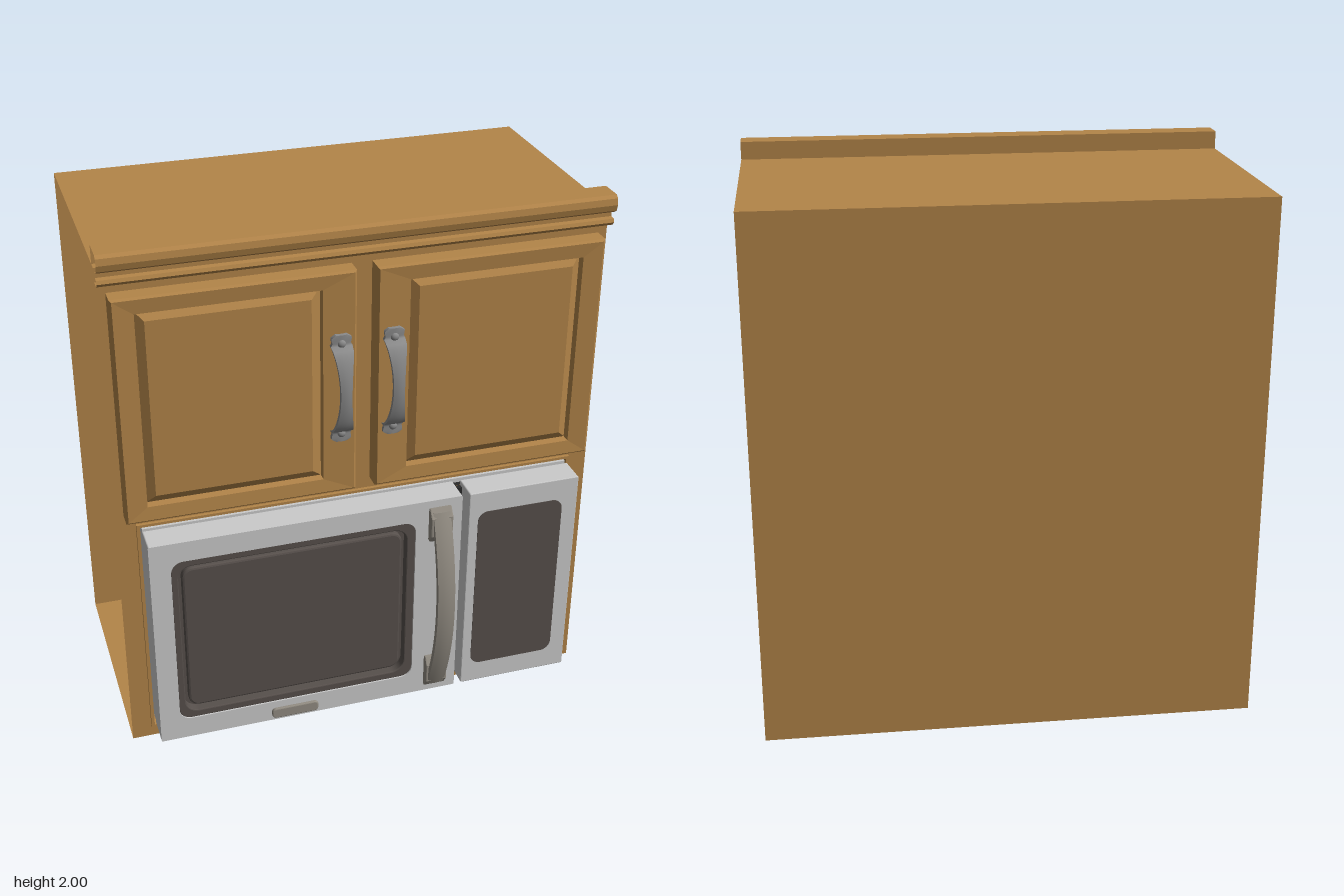
import * as THREE from 'three';

const mat = (color, flat = false) =>
  new THREE.MeshStandardMaterial({ color, flatShading: flat, side: THREE.DoubleSide });
const wood = mat(0xb38549, true), grey = mat(0xcccccc, true), dark = mat(0x57504c),
  black = mat(0x2a2a2a), warmMetal = mat(0x938d83), pullMetal = mat(0x8b8b8b);

function add(parent, name, geometry, material, x = 0, y = 0, z = 0) {
  const m = new THREE.Mesh(geometry, material);
  m.name = name;
  m.position.set(x, y, z);
  parent.add(m);
  return m;
}

// Rectangular rings [x0, x1, y0, y1, z] joined one to the next, optionally closed by a last panel
function rings(list, cap = false) {
  const pos = [];
  const corners = ([x0, x1, y0, y1, z]) => [[x0, y0, z], [x1, y0, z], [x1, y1, z], [x0, y1, z]];
  const quad = (a, b, c, d) => pos.push(...a, ...b, ...c, ...a, ...c, ...d);
  for (let i = 0; i < list.length - 1; i++) {
    const o = corners(list[i]), n = corners(list[i + 1]);
    for (let k = 0; k < 4; k++) quad(o[k], o[(k + 1) % 4], n[(k + 1) % 4], n[k]);
  }
  if (cap) quad(...corners(list[list.length - 1]));
  const g = new THREE.BufferGeometry();
  g.setAttribute('position', new THREE.Float32BufferAttribute(pos, 3));
  g.computeVertexNormals();
  return g;
}

function roundRect(x0, x1, y0, y1, r, Type = THREE.Shape) {
  const s = new Type();
  s.moveTo(x0 + r, y0);
  s.lineTo(x1 - r, y0);
  s.absarc(x1 - r, y0 + r, r, -Math.PI / 2, 0);
  s.lineTo(x1, y1 - r);
  s.absarc(x1 - r, y1 - r, r, 0, Math.PI / 2);
  s.lineTo(x0 + r, y1);
  s.absarc(x0 + r, y1 - r, r, Math.PI / 2, Math.PI);
  s.lineTo(x0, y0 + r);
  s.absarc(x0 + r, y0 + r, r, Math.PI, Math.PI * 1.5);
  return s;
}

const slab = (shape, depth, bevel = 0) => new THREE.ExtrudeGeometry(shape, {
  depth: depth - 2 * bevel, bevelEnabled: bevel > 0, bevelSize: bevel, bevelThickness: bevel,
  bevelOffset: -bevel, bevelSegments: 2, curveSegments: 8,
}).translate(0, 0, bevel);

// Upright bar: width and forward bow both follow t = -1..1 along its height
function bentBar(height, thick, width, bow) {
  const g = new THREE.BoxGeometry(1, 2, thick, 4, 40, 1), p = g.attributes.position;
  for (let i = 0; i < p.count; i++) {
    const t = p.getY(i), x = p.getX(i);
    p.setXYZ(i, x * width(t), t * height / 2, p.getZ(i) + bow(t) - x * x * thick * 0.8);
  }
  g.computeVertexNormals();
  return g;
}

// Cabinet: open-sided sheets, face frame with openings, and crown moulding
function buildCabinet() {
  const g = new THREE.Group();
  g.name = 'cabinet';
  const top = 1.935, back = -0.57, face = 0.32, depth = face - back, mid = (face + back) / 2;
  add(g, 'cabinetBack', new THREE.PlaneGeometry(1.784, top).rotateY(Math.PI), wood, 0, top / 2, back);
  add(g, 'cabinetTop', new THREE.PlaneGeometry(1.784, depth).rotateX(-Math.PI / 2), wood, 0, top, mid);
  add(g, 'cabinetBottom', new THREE.PlaneGeometry(1.784, depth).rotateX(Math.PI / 2), wood, 0, 0, mid);

  const frame = roundRect(-0.892, 0.892, 0, top, 0.0001);
  for (const r of [[-0.855, -0.04, 1.003, 1.84], [0.04, 0.855, 1.003, 1.84], [-0.815, 0.815, 0.05, 0.953]])
    frame.holes.push(roundRect(...r, 0.0001, THREE.Path));
  add(g, 'faceFrame', new THREE.ShapeGeometry(frame, 1), wood, 0, 0, face);
  add(g, 'openingTrim', rings([
    [-0.82, 0.82, 0.046, 0.956, 0.32], [-0.82, 0.82, 0.046, 0.956, 0.333],
    [-0.808, 0.808, 0.058, 0.946, 0.333], [-0.804, 0.804, 0.065, 0.943, 0.30],
    [-0.803, 0.803, 0.072, 0.942, 0.22]]), wood);

  // Crown profile as (z, y), swept along x with open ends
  const profile = [[0.285, 1.935], [0.285, 2], [0.37, 2], [0.382, 1.99], [0.386, 1.967], [0.38, 1.945],
    [0.365, 1.935], [0.345, 1.933], [0.345, 1.912], [0.365, 1.91], [0.37, 1.898], [0.36, 1.886], [0.32, 1.885]];
  const crown = new THREE.PlaneGeometry(1.784, 1, 1, profile.length - 1), p = crown.attributes.position;
  for (let i = 0; i < p.count; i++) {
    const [z, y] = profile[Math.floor(i / 2)];
    p.setXYZ(i, p.getX(i), y, z);
  }
  crown.computeVertexNormals();
  add(g, 'crownMoulding', crown, wood);
  return g;
}

// Raised-panel door with a curved pull; side is +1 for the left door, -1 for the right
function buildDoor(side) {
  const g = new THREE.Group();
  g.name = side > 0 ? 'leftDoor' : 'rightDoor';
  const ring = (inner, outer, y0, y1, z) =>
    side > 0 ? [inner, outer, y0, y1, z] : [-outer, -inner, y0, y1, z];
  add(g, 'doorPanel', rings([
    ring(0.036, 0.86, 0.998, 1.845, 0.265), ring(0.036, 0.86, 0.998, 1.845, 0.378),
    ring(0.043, 0.853, 1.005, 1.838, 0.385), ring(0.154, 0.783, 1.056, 1.786, 0.38),
    ring(0.155, 0.782, 1.057, 1.785, 0.348), ring(0.19, 0.75, 1.09, 1.752, 0.37)], true), wood);

  const x = side * 0.094;
  const width = t => {
    const a = Math.abs(t);
    if (a < 0.8) return 0.04 + 0.036 * (a / 0.8) ** 2;
    return a < 0.92 ? 0.076 - 0.012 * Math.sin((a - 0.8) / 0.12 * Math.PI) : 0.076 - 0.036 * ((a - 0.92) / 0.08) ** 2;
  };
  const bow = t => Math.abs(t) < 0.8 ? 0.062 * Math.sqrt(Math.max(0, 1 - (t / 0.8) ** 2)) : 0;
  add(g, 'doorPull', bentBar(0.41, 0.014, width, bow), pullMetal, x, 1.417, 0.393);
  for (const s of [-1, 1])
    add(g, 'pullScrew', new THREE.SphereGeometry(0.015, 12, 8).scale(1, 1, 0.7), pullMetal, x, 1.417 + s * 0.173, 0.398);
  return g;
}

function buildMicrowave() {
  const g = new THREE.Group();
  g.name = 'microwave';
  // Hollow body sleeve and the dark seal behind the door
  add(g, 'bodySleeve', rings([[-0.802, 0.802, 0.075, 0.94, 0.215], [-0.802, 0.802, 0.075, 0.94, 0.335],
    [-0.785, 0.785, 0.092, 0.923, 0.335]]), grey);
  add(g, 'seal', rings([[-0.785, 0.785, 0.092, 0.923, 0.333], [-0.785, 0.785, 0.092, 0.923, 0.355]]), black);
  add(g, 'gapStrip', new THREE.BoxGeometry(0.04, 0.83, 0.02), black, 0.36, 0.507, 0.365);

  // Door with recessed window
  const door = roundRect(-0.805, 0.348, 0.075, 0.94, 0.006);
  door.holes.push(roundRect(-0.73, 0.172, 0.16, 0.86, 0.045, THREE.Path));
  add(g, 'microwaveDoor', slab(door, 0.105), grey, 0, 0, 0.35);
  add(g, 'doorBack', new THREE.BoxGeometry(1.14, 0.855, 0.01), grey, -0.228, 0.507, 0.356);
  const rim = roundRect(-0.732, 0.174, 0.158, 0.862, 0.045);
  rim.holes.push(roundRect(-0.705, 0.14, 0.188, 0.832, 0.05, THREE.Path));
  add(g, 'windowRim', slab(rim, 0.07, 0.004), dark, 0, 0, 0.38);
  add(g, 'windowGlass', slab(roundRect(-0.69, 0.125, 0.203, 0.815, 0.04), 0.04, 0.008), dark, 0, 0, 0.4);
  add(g, 'windowBacking', new THREE.BoxGeometry(0.9, 0.7, 0.02), dark, -0.279, 0.51, 0.405);
  add(g, 'badge', slab(roundRect(-0.382, -0.202, 0.087, 0.13, 0.016), 0.022, 0.004), warmMetal, 0, 0, 0.443);

  // Control section
  add(g, 'controlHousing', slab(roundRect(0.376, 0.805, 0.075, 0.94, 0.006), 0.105, 0.003), grey, 0, 0, 0.35);
  add(g, 'controlPanel', slab(roundRect(0.412, 0.745, 0.16, 0.855, 0.04), 0.012), dark, 0, 0, 0.445);

  // Bowed handle on two tapered mounts
  const x = 0.262, y = 0.508;
  add(g, 'handleBar', bentBar(0.78, 0.02, () => 0.066, t => 0.085 * (1 - t * t)), warmMetal, x, y, 0.468);
  for (const s of [-1, 1]) {
    const mount = new THREE.Shape([[0.45, 0.265], [0.45, 0.402], [0.463, 0.402], [0.485, 0.37], [0.485, 0.295], [0.468, 0.265]]
      .map(([z, h]) => new THREE.Vector2(-z, s * h)));
    add(g, 'handleMount', slab(mount, 0.084, 0.004).rotateY(Math.PI / 2), warmMetal, x - 0.042, y, 0)
      .scale.set(1, 1, 1);
  }
  return g;
}

export function createModel() {
  const model = new THREE.Group();
  model.name = 'microwaveCabinet';
  model.add(buildCabinet(), buildDoor(1), buildDoor(-1), buildMicrowave());
  return model;
}
